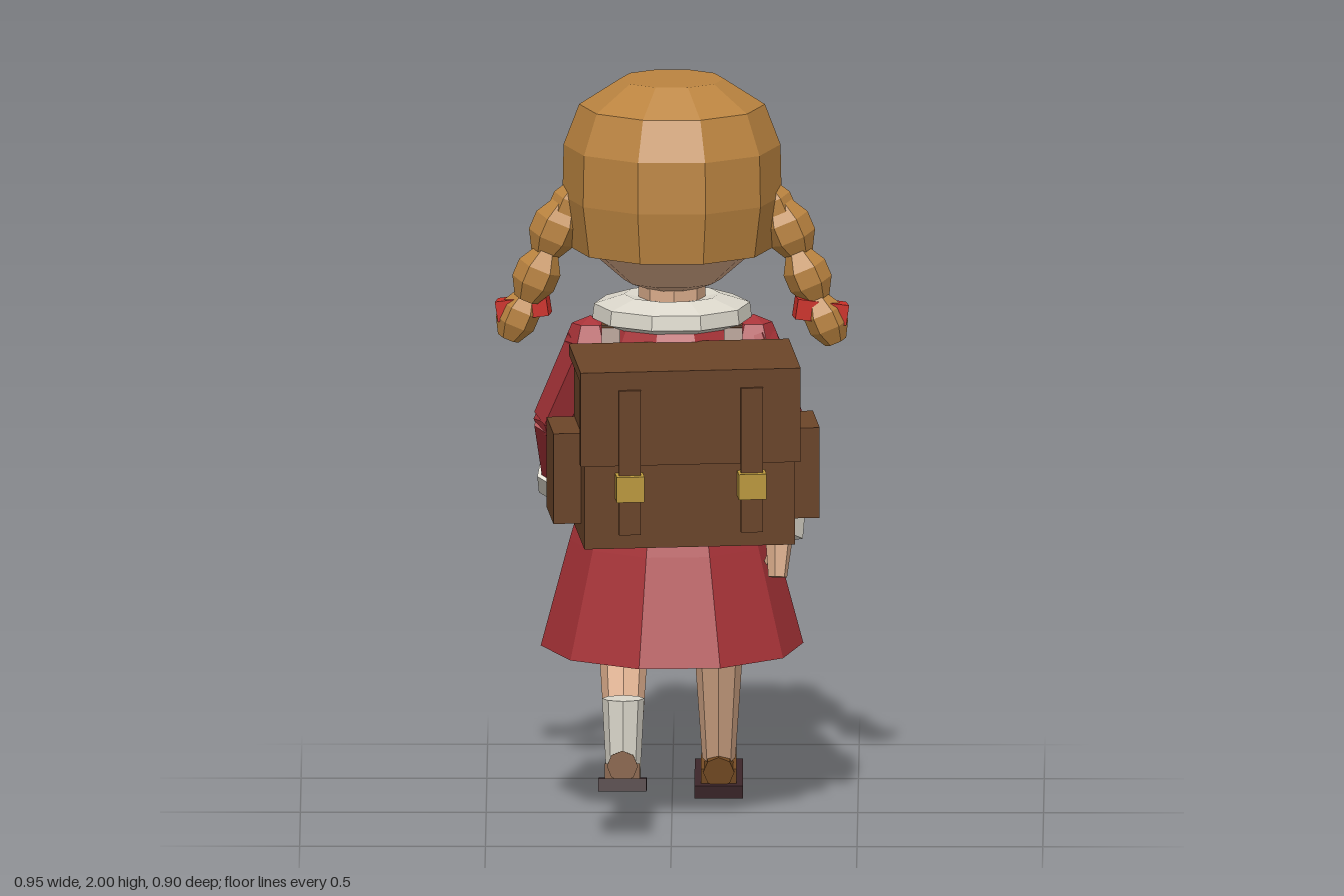
import * as THREE from 'three';

const paint = (name, color) => {
  const m = new THREE.MeshStandardMaterial({ color });
  m.name = name;
  return m;
};
const V = (x, y, z) => new THREE.Vector3(x, y, z);

export function createModel() {
  const model = new THREE.Group();
  model.name = 'walkingSchoolgirl';
  const hair = paint('hair', 0xbb8440), skin = paint('skin', 0xd9ab8a);
  const cloth = paint('redCloth', 0xa83338), ribbon = paint('ribbonRed', 0xcc3028);
  const white = paint('white', 0xdcd8cc), leather = paint('leather', 0x6b4428);
  const shoe = paint('shoeBrown', 0x744a22), dark = paint('dark', 0x3a2428), gold = paint('gold', 0xbd9a3e);

  // Faceted mesh with one normal per face
  function add(parent, name, geo, mat, p = [0, 0, 0], r = [0, 0, 0]) {
    const g = geo.index ? geo.toNonIndexed() : geo;
    g.computeVertexNormals();
    const mesh = new THREE.Mesh(g, mat);
    mesh.name = name;
    mesh.position.set(...p);
    mesh.rotation.set(...r);
    parent.add(mesh);
    return mesh;
  }
  const box = (parent, name, mat, size, p, r) => add(parent, name, new THREE.BoxGeometry(...size), mat, p, r);
  const group = (name, p = [0, 0, 0], r = [0, 0, 0], parent = model) => {
    const g = new THREE.Group();
    g.name = name;
    g.position.set(...p);
    g.rotation.set(...r);
    parent.add(g);
    return g;
  };
  const UP = V(0, 1, 0);
  function along(mesh, a, b) {
    mesh.position.copy(a).lerp(b, 0.5);
    mesh.quaternion.setFromUnitVectors(UP, b.clone().sub(a).normalize());
    return mesh;
  }
  // Tapered limb between two points
  const limb = (parent, name, mat, a, b, ra, rb, n = 6) =>
    along(add(parent, name, new THREE.CylinderGeometry(rb, ra, a.distanceTo(b), n), mat), a, b);
  const lathe = (pts, n = 10) =>
    new THREE.LatheGeometry(pts.map(p => new THREE.Vector2(...p)), n, Math.PI / n);

  // Dress, buttons, collar and neck share the body axis
  const body = group('body', [0, 0, -0.06], [0, 0.06, 0]);
  add(body, 'dress', lathe([[0, 0.47], [0.365, 0.45], [0.285, 0.74], [0.212, 0.98], [0.2, 1.12],
    [0.195, 1.27], [0.16, 1.34], [0, 1.36]]), cloth).scale.set(0.97, 1, 1.05);
  add(body, 'collar', lathe([[0.15, 1.32], [0.215, 1.345], [0.21, 1.385], [0.13, 1.41], [0.08, 1.40]]), white);
  add(body, 'neck', new THREE.CylinderGeometry(0.09, 0.09, 0.2, 8), skin, [0, 1.4, 0]);
  for (const y of [1.26, 1.165]) box(body, 'button', white, [0.045, 0.045, 0.04], [0, y, -0.2]);

  // Head
  const head = group('head', [0, 0, -0.05]);
  add(head, 'face', lathe([[0, 1.405], [0.13, 1.45], [0.235, 1.54], [0.274, 1.66], [0.262, 1.78],
    [0.2, 1.89], [0, 1.94]]), skin);

  // Hair shell, its lower edge raised over the face
  const prof = [[0.275, 1.54], [0.295, 1.68], [0.292, 1.82], [0.25, 1.93], [0.14, 2]];
  const radiusAt = y => {
    let i = 0;
    while (i < prof.length - 2 && y > prof[i + 1][1]) i++;
    const [r0, y0] = prof[i], [r1, y1] = prof[i + 1];
    return r0 + (r1 - r0) * (y - y0) / (y1 - y0);
  };
  const shell = lathe([[0.215, 1.54], ...prof, [0, 2]]);
  const pos = shell.attributes.position;
  for (let i = 0; i < pos.count; i++) {
    const x = pos.getX(i), y = pos.getY(i), z = pos.getZ(i), r = Math.hypot(x, z);
    if (r < 0.01) continue;
    const c = z / r, edge = c > -0.3 ? 1.54 : c > -0.8 ? 1.62 : 1.76;
    if (y >= edge) continue;
    const k = radiusAt(edge) * (r < 0.22 ? 0.85 : 1) / r;
    pos.setXYZ(i, x * k, edge, z * k);
  }
  add(head, 'hair', shell, hair);

  // Face details and forehead curls
  for (const s of [-1, 1]) {
    const turn = s * -0.25;
    box(head, 'eyeWhite', white, [0.07, 0.09, 0.05], [s * 0.112, 1.66, -0.258], [0, turn, 0]);
    box(head, 'pupil', dark, [0.05, 0.085, 0.05], [s * 0.1, 1.66, -0.266], [0, turn, 0]);
    box(head, 'eyebrow', shoe, [0.085, 0.025, 0.05], [s * 0.105, 1.725, -0.265], [0, turn, s * -0.12]);
    add(head, 'curl', new THREE.SphereGeometry(0.065, 6, 4), hair, [s * 0.165, 1.825, -0.228], [0, turn * 2, s * 0.2]);
    box(head, 'ear', skin, [0.05, 0.08, 0.06], [s * 0.27, 1.63, -0.03]);
  }
  box(head, 'nose', skin, [0.045, 0.04, 0.06], [0, 1.605, -0.275]);
  box(head, 'mouth', dark, [0.07, 0.012, 0.02], [0, 1.535, -0.225]);

  // Braids
  for (const s of [-1, 1]) {
    const braid = group(s < 0 ? 'rightBraid' : 'leftBraid');
    const tz = s < 0 ? -0.075 : -0.025;
    const beads = [[0.275, 1.65, -0.045, 0.055], [0.315, 1.59, -0.04, 0.065], [0.365, 1.465, -0.03, 0.06], [0.415, 1.345, tz, 0.055]];
    for (const [x, y, z, r] of beads)
      add(braid, 'braidBead', lathe([[0, -1.25], [0.55, -1.2], [1, -0.4], [1, 0.4], [0.55, 1.2], [0, 1.25]]
        .map(([a, b]) => [a * r, b * r]), 6), hair, [s * x, y, z], [0, 0, s * 0.4]);
    box(braid, 'ribbon', ribbon, [0.14, 0.055, 0.06], [s * 0.4, 1.37, tz], [0, s * 0.15, s * -0.15]);
  }

  // Arms: shoulder, elbow, wrist, fingertips, thumb tip
  const arms = {
    leftArm: [V(0.22, 1.28, -0.08), V(0.31, 1.03, 0.02), V(0.29, 0.81, 0.1), V(0.285, 0.67, 0.135), V(0.26, 0.70, 0.09)],
    rightArm: [V(-0.22, 1.28, -0.06), V(-0.315, 1.05, -0.15), V(-0.3, 0.86, -0.32), V(-0.285, 0.755, -0.4), V(-0.245, 0.81, -0.41)],
  };
  for (const [name, [sh, el, wr, tip, thumb]] of Object.entries(arms)) {
    const arm = group(name);
    add(arm, 'shoulder', new THREE.SphereGeometry(0.07, 6, 4), cloth, sh.toArray());
    limb(arm, 'upperSleeve', cloth, sh, el, 0.065, 0.06);
    add(arm, 'elbow', new THREE.SphereGeometry(0.058, 6, 4), cloth, el.toArray());
    limb(arm, 'lowerSleeve', cloth, el, wr, 0.06, 0.052);
    const dir = wr.clone().sub(el).normalize();
    const cuffEnd = wr.clone().addScaledVector(dir, 0.035);
    limb(arm, 'cuff', white, wr.clone().addScaledVector(dir, -0.035), cuffEnd, 0.066, 0.066);
    limb(arm, 'hand', skin, wr, tip, 0.042, 0.026);
    limb(arm, 'thumb', skin, cuffEnd.lerp(tip, 0.25), thumb, 0.02, 0.013, 5);
  }

  // Legs
  const front = group('leftLeg');
  limb(front, 'leg', skin, V(0.125, 0.6, -0.155), V(0.125, 0.1, -0.275), 0.078, 0.045, 8);
  limb(front, 'sock', white, V(0.125, 0.29, -0.243), V(0.125, 0.1, -0.287), 0.05, 0.042, 8);
  const rear = group('rightLeg');
  limb(rear, 'thigh', skin, V(-0.13, 0.58, -0.03), V(-0.13, 0.22, 0.27), 0.075, 0.048, 8);
  limb(rear, 'sock', white, V(-0.13, 0.18, 0.315), V(-0.13, 0.37, 0.308), 0.047, 0.057, 8);

  // Shoes: sole, heel and rounded toe
  function makeShoe(name, p, tilt) {
    const g = group(name, p, [tilt, 0, 0]);
    box(g, 'sole', dark, [0.13, 0.035, 0.24], [0, 0, 0]);
    box(g, 'upper', shoe, [0.095, 0.045, 0.21], [0, 0.035, -0.01]);
    add(g, 'toe', new THREE.CylinderGeometry(0.045, 0.045, 0.11, 8), shoe, [0, 0.055, -0.055], [Math.PI / 2, 0, 0]);
    add(g, 'heel', new THREE.CylinderGeometry(0.042, 0.042, 0.07, 8), shoe, [0, 0.05, 0.065], [Math.PI / 2, 0, 0]);
  }
  makeShoe('leftShoe', [0.125, 0.033, -0.322], 0.13);
  makeShoe('rightShoe', [-0.132, 0.13, 0.285], -0.17);

  // Satchel
  const bag = group('satchel', [0.035, 1.05, 0.245], [0.06, 0.1, 0]);
  box(bag, 'bagBody', leather, [0.57, 0.48, 0.29], [0, -0.005, 0]);
  box(bag, 'flapTop', leather, [0.595, 0.03, 0.33], [0, 0.235, 0.005]);
  box(bag, 'flapFront', leather, [0.595, 0.25, 0.03], [0, 0.115, 0.155]);
  for (const s of [-1, 1]) {
    box(bag, 'sidePocket', leather, [0.08, 0.25, 0.19], [s * 0.32, -0.07, -0.04]);
    box(bag, 'flapStrap', leather, [0.06, 0.4, 0.015], [s * 0.165, 0, 0.172]);
    box(bag, 'clasp', gold, [0.075, 0.07, 0.05], [s * 0.165, -0.07, 0.172]);
  }

  // Shoulder straps as flat bands over the chest
  const strapPath = [[1.2, 0.12], [1.33, 0.04], [1.35, -0.1], [1.26, -0.245], [1.09, -0.262], [0.97, -0.17], [0.93, 0], [0.9, 0.12]];
  for (const s of [-1, 1]) {
    const strap = group(s < 0 ? 'rightStrap' : 'leftStrap');
    for (let i = 0; i < strapPath.length - 1; i++) {
      const [y0, z0] = strapPath[i], [y1, z1] = strapPath[i + 1];
      const x = i < 4 ? 0.165 : i === 4 ? 0.185 : 0.215;
      box(strap, 'strapBand', leather, [0.05, Math.hypot(y1 - y0, z1 - z0) + 0.015, 0.02],
        [s * x, (y0 + y1) / 2, (z0 + z1) / 2], [Math.atan2(z1 - z0, y1 - y0), 0, 0]);
    }
  }
  return model;
}
